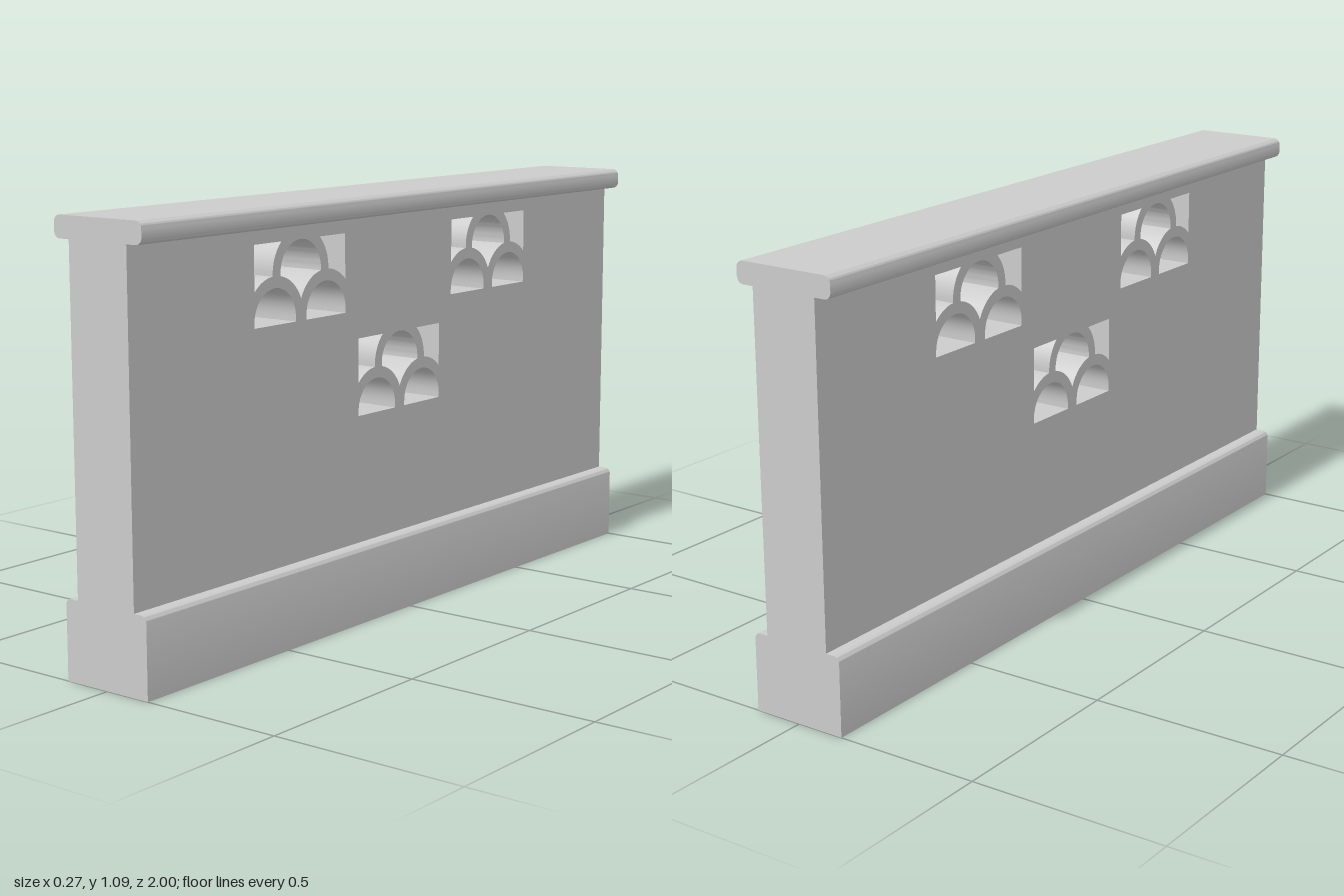
import * as THREE from 'three';
import { toCreasedNormals } from 'three/addons/utils/BufferGeometryUtils.js';

const LENGTH = 2;
const material = new THREE.MeshStandardMaterial({ color: 0xcccccc });

function addMesh(group, name, geometry) {
  const mesh = new THREE.Mesh(toCreasedNormals(geometry, 0.6), material);
  mesh.name = name;
  group.add(mesh);
}

// Bar along z whose cross-section has rounded top (and optionally bottom) corners
function barGeometry(w, y0, y1, rTop, rBottom) {
  const s = new THREE.Shape();
  s.moveTo(-w + rBottom, y0);
  s.lineTo(w - rBottom, y0);
  if (rBottom) s.absarc(w - rBottom, y0 + rBottom, rBottom, -Math.PI / 2, 0);
  s.absarc(w - rTop, y1 - rTop, rTop, 0, Math.PI / 2);
  s.absarc(-w + rTop, y1 - rTop, rTop, Math.PI / 2, Math.PI);
  if (rBottom) s.absarc(-w + rBottom, y0 + rBottom, rBottom, Math.PI, Math.PI * 1.5);
  else s.lineTo(-w, y0);
  const g = new THREE.ExtrudeGeometry(s, { depth: LENGTH, bevelEnabled: false, curveSegments: 6 });
  return g.translate(0, 0, -LENGTH / 2);
}

// Fish-scale opening: lower arches, a round scale between them, and corner spandrels
const HALF = 0.173, TOP = 0.199, INNER = 0.077, OUTER = 0.106;
const LOW = { u: 0.097, v: 0.012 }, HIGH = { u: 0, v: 0.122 };

// Outward intersection of the upper circle (radius r) with the right lower outer circle
function meet(r, side) {
  const du = LOW.u - HIGH.u, dv = LOW.v - HIGH.v, d = Math.hypot(du, dv);
  const a = (r * r - OUTER * OUTER + d * d) / (2 * d);
  const h = Math.sqrt(r * r - a * a) * side;
  return { u: HIGH.u + (a * du - h * dv) / d, v: HIGH.v + (a * dv + h * du) / d };
}
const angle = (c, p) => Math.atan2(p.v - c.v, p.u - c.u);

function scaleHoles(cu, cv) {
  const holes = [];
  const path = (points) => holes.push(new THREE.Path(points.map(([u, v]) => new THREE.Vector2(cu + u, cv + v))));
  const arc = (c, r, a0, a1, n = 16) => Array.from({ length: n + 1 }, (_, i) => {
    const a = a0 + (a1 - a0) * i / n;
    return [c.u + r * Math.cos(a), c.v + r * Math.sin(a)];
  });
  const mirror = (pts) => pts.map(([u, v]) => [-u, v]).reverse();

  // Lower arches
  const arch = [[LOW.u - INNER, 0], [LOW.u + INNER, 0], ...arc(LOW, INNER, 0, Math.PI)];
  // Corner spandrels
  const p = meet(OUTER, 1);
  const topU = Math.sqrt(OUTER ** 2 - (TOP - HIGH.v) ** 2);
  const edgeV = LOW.v + Math.sqrt(OUTER ** 2 - (HALF - LOW.u) ** 2);
  const spandrel = [[HALF, TOP],
    ...arc(HIGH, OUTER, angle(HIGH, { u: topU, v: TOP }), angle(HIGH, p), 8),
    ...arc(LOW, OUTER, angle(LOW, p), angle(LOW, { u: HALF, v: edgeV }), 8).slice(1)];
  for (const pts of [arch, spandrel]) {
    path(pts);
    path(mirror(pts));
  }

  // Upper scale: round top, pointed bottom
  const q = meet(INNER, 1);
  const tip = { u: 0, v: LOW.v + Math.sqrt(OUTER ** 2 - LOW.u ** 2) };
  const right = [...arc(LOW, OUTER, angle(LOW, tip), angle(LOW, q), 8),
    ...arc(HIGH, INNER, angle(HIGH, q), Math.PI / 2).slice(1)];
  path([...right, ...mirror(right).slice(1, -1)]);
  return holes;
}

function wallGeometry(w, y0, y1) {
  const s = new THREE.Shape();
  s.moveTo(-LENGTH / 2, y0);
  s.lineTo(LENGTH / 2, y0);
  s.lineTo(LENGTH / 2, y1);
  s.lineTo(-LENGTH / 2, y1);
  s.closePath();
  for (const [u, v] of [[-0.4, 0.8], [0.4, 0.8], [0, 0.53]]) s.holes.push(...scaleHoles(u, v));
  const g = new THREE.ExtrudeGeometry(s, { depth: 2 * w, bevelEnabled: false });
  return g.translate(0, 0, -w).rotateY(Math.PI / 2);
}

export function createModel() {
  const group = new THREE.Group();
  group.name = 'parapetWall';
  addMesh(group, 'base', barGeometry(0.127, 0, 0.2, 0.016, 0));
  addMesh(group, 'piercedWall', wallGeometry(0.089, 0.2, 1.036));
  addMesh(group, 'coping', barGeometry(0.135, 1.036, 1.09, 0.018, 0.018));
  return group;
}
